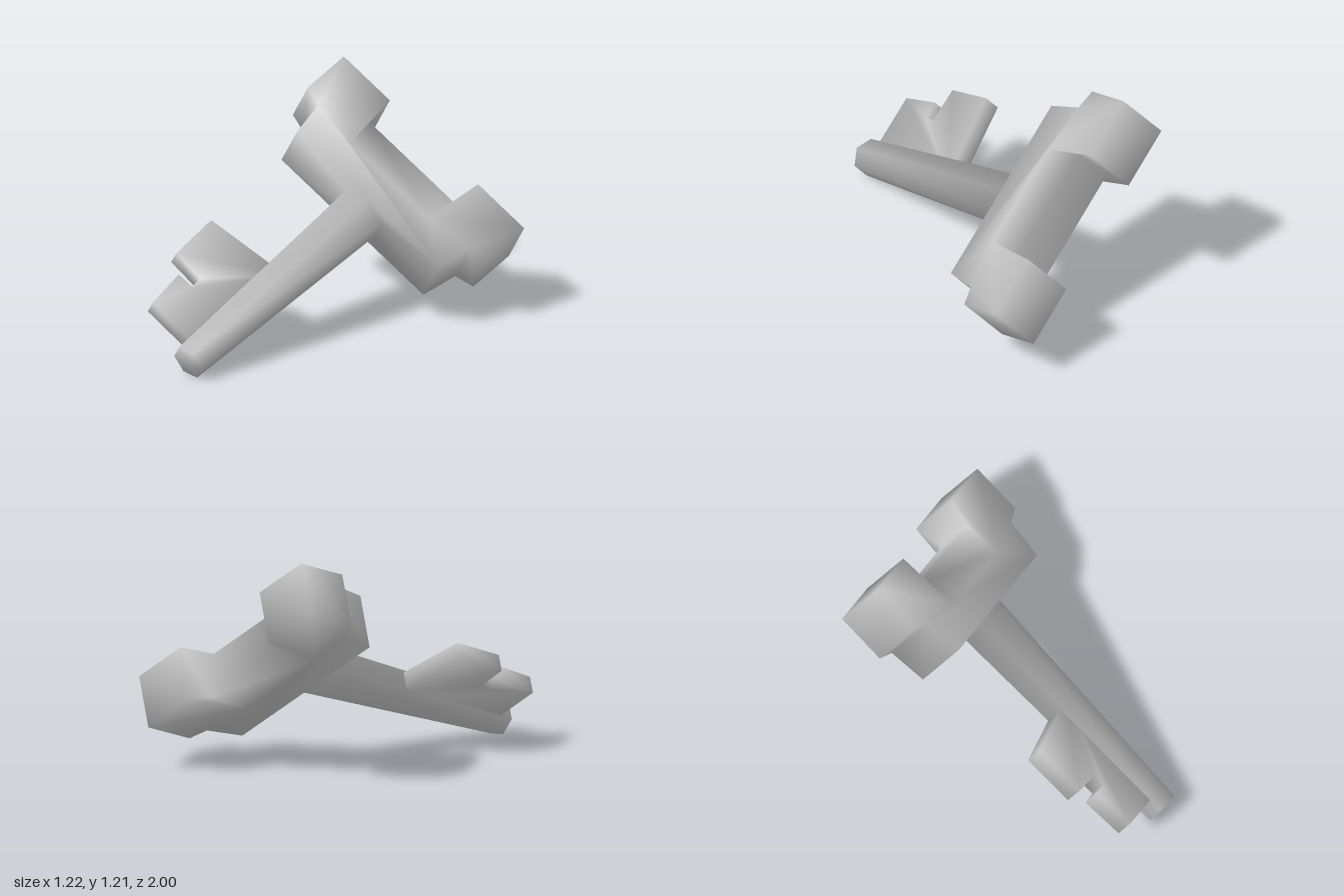
import * as THREE from 'three';
import { mergeVertices } from 'three/addons/utils/BufferGeometryUtils.js';

const metal = new THREE.MeshStandardMaterial({ color: 0xc0c0c0 });
metal.name = 'grey metal';

// Weld a list of triangle corners and give it smooth, angle-weighted normals
function weld(corners) {
  const geometry = mergeVertices(new THREE.BufferGeometry().setFromPoints(corners), 1e-3);
  const pos = geometry.attributes.position;
  const index = geometry.index;
  const normals = Array.from({ length: pos.count }, () => new THREE.Vector3());
  for (let i = 0; i < index.count; i += 3) {
    const ids = [0, 1, 2].map((k) => index.getX(i + k));
    const p = ids.map((id) => new THREE.Vector3().fromBufferAttribute(pos, id));
    const face = new THREE.Triangle(...p).getNormal(new THREE.Vector3());
    ids.forEach((id, k) => {
      const a = p[(k + 1) % 3].clone().sub(p[k]);
      const b = p[(k + 2) % 3].clone().sub(p[k]);
      normals[id].addScaledVector(face, a.angleTo(b));
    });
  }
  const flat = normals.flatMap((n) => n.normalize().toArray());
  geometry.setAttribute('normal', new THREE.Float32BufferAttribute(flat, 3));
  return geometry;
}

// Triangle corners of a geometry, keeping the triangles that pass the test
function cornersOf(geometry, keep = () => true) {
  const pos = (geometry.index ? geometry.toNonIndexed() : geometry).attributes.position;
  const corners = [];
  for (let i = 0; i < pos.count; i += 3) {
    const tri = [0, 1, 2].map((k) => new THREE.Vector3().fromBufferAttribute(pos, i + k));
    if (keep(tri)) corners.push(...tri);
  }
  return corners;
}

// Triangle corners of a convex polygon
function fan(points) {
  const v = points.map((p) => new THREE.Vector3(...p));
  return v.slice(2).flatMap((p, i) => [v[0], v[i + 1], p]);
}

// Plate from an outline of [across, along] points, centred on y = 0
function slab(points, thickness) {
  const shape = new THREE.Shape(points.map(([x, z]) => new THREE.Vector2(x, -z)));
  const geometry = new THREE.ExtrudeGeometry(shape, { depth: thickness, bevelEnabled: false });
  geometry.translate(0, 0, -thickness / 2);
  geometry.rotateX(-Math.PI / 2);
  return geometry;
}

const H = 0.1525; // half thickness of the handle
const FRONT = -0.49; // where the shaft meets the handle
const TIP = 0.884;
const R = 0.147; // shaft radius at the handle
const TIP_R = 0.096;

// U-shaped handle with a square knob at the end of each arm, open at the
// front face and inside the U
function handleCorners() {
  const half = [
    [0.515, FRONT], [0.55, -0.705], [0.655, -0.735], [0.655, -1.02],
    [0.32, -1.02], [0.285, -0.665],
  ];
  const mirrored = half.map(([x, z]) => [-x, z]).reverse();
  return cornersOf(slab([...half, ...mirrored], 2 * H), (tri) => {
    const isCap = tri.every((v) => Math.abs(v.y - tri[0].y) < 1e-4);
    const isFront = tri.every((v) => v.z > FRONT - 0.01);
    const isInside = tri.every((v) => Math.abs(v.x) < 0.33 && v.z < -0.6);
    return isCap || !(isFront || isInside);
  });
}

// Inner walls of the U and the web between them, thinner towards the back
function insideCorners() {
  const arm = (x, y, z) => [x, y, z];
  const b = 0.11;
  const [a1, a2] = [H, -H].map((y) => arm(0.285, y, -0.665));
  const [k1, k2] = [H, -H].map((y) => arm(0.32, y, -1.02));
  const [b1, b2] = [b, -b].map((y) => arm(0.32, y, -0.865));
  const flip = ([x, y, z]) => [-x, y, z];
  const walls = [[k1, k2, b2, b1], [k1, b1, a1], [k2, a2, b2]];
  const web = [
    [a1, b1, flip(b1), flip(a1)],
    [flip(a2), flip(b2), b2, a2],
    [b1, b2, flip(b2), flip(b1)],
  ];
  const otherWalls = walls.map((w) => w.map(flip).reverse());
  return [...walls, ...otherWalls, ...web].flatMap(fan);
}

// Front face of the handle, with a six-sided opening for the shaft
function frontCorners() {
  const w = 0.515;
  const shape = new THREE.Shape([[-w, -H], [w, -H], [w, H], [-w, H]].map((p) => new THREE.Vector2(...p)));
  const hexagon = Array.from({ length: 6 }, (_, i) => {
    const angle = Math.PI / 6 - (i * Math.PI) / 3;
    return new THREE.Vector2(R * Math.cos(angle), R * Math.sin(angle));
  });
  shape.holes.push(new THREE.Path(hexagon));
  return cornersOf(new THREE.ShapeGeometry(shape).translate(0, 0, FRONT));
}

// Six-sided shaft, narrower at the tip
function shaftCorners() {
  const tube = new THREE.CylinderGeometry(TIP_R, R, TIP - FRONT, 6, 1, true);
  tube.rotateX(Math.PI / 2).translate(0, 0, (TIP + FRONT) / 2);
  const cap = new THREE.CircleGeometry(TIP_R, 6, Math.PI / 6).translate(0, 0, TIP);
  return [...cornersOf(tube), ...cornersOf(cap)];
}

export function createModel() {
  const model = new THREE.Group();
  model.name = 'key';

  // The key is modelled flat, tip towards +z, then tilted and rolled
  const key = new THREE.Group();
  key.name = 'tiltedKey';
  key.rotation.set(THREE.MathUtils.degToRad(19.5), 0, THREE.MathUtils.degToRad(-37.5));
  key.position.set(0, 0.377, 0.14);
  model.add(key);

  const add = (name, corners) => {
    const mesh = new THREE.Mesh(weld(corners), metal);
    mesh.name = name;
    key.add(mesh);
  };

  // Handle and shaft flow into each other as one surface
  add('handleAndShaft', [
    ...handleCorners(), ...insideCorners(), ...frontCorners(), ...shaftCorners(),
  ]);

  // Two-toothed bit on one side of the shaft
  add('bit', cornersOf(slab([
    [0, 0.12], [-0.48, 0.19], [-0.468, 0.485], [-0.285, 0.495],
    [-0.28, 0.562], [-0.375, 0.565], [-0.352, 0.80], [0, 0.805],
  ], 0.094)));

  return model;
}
